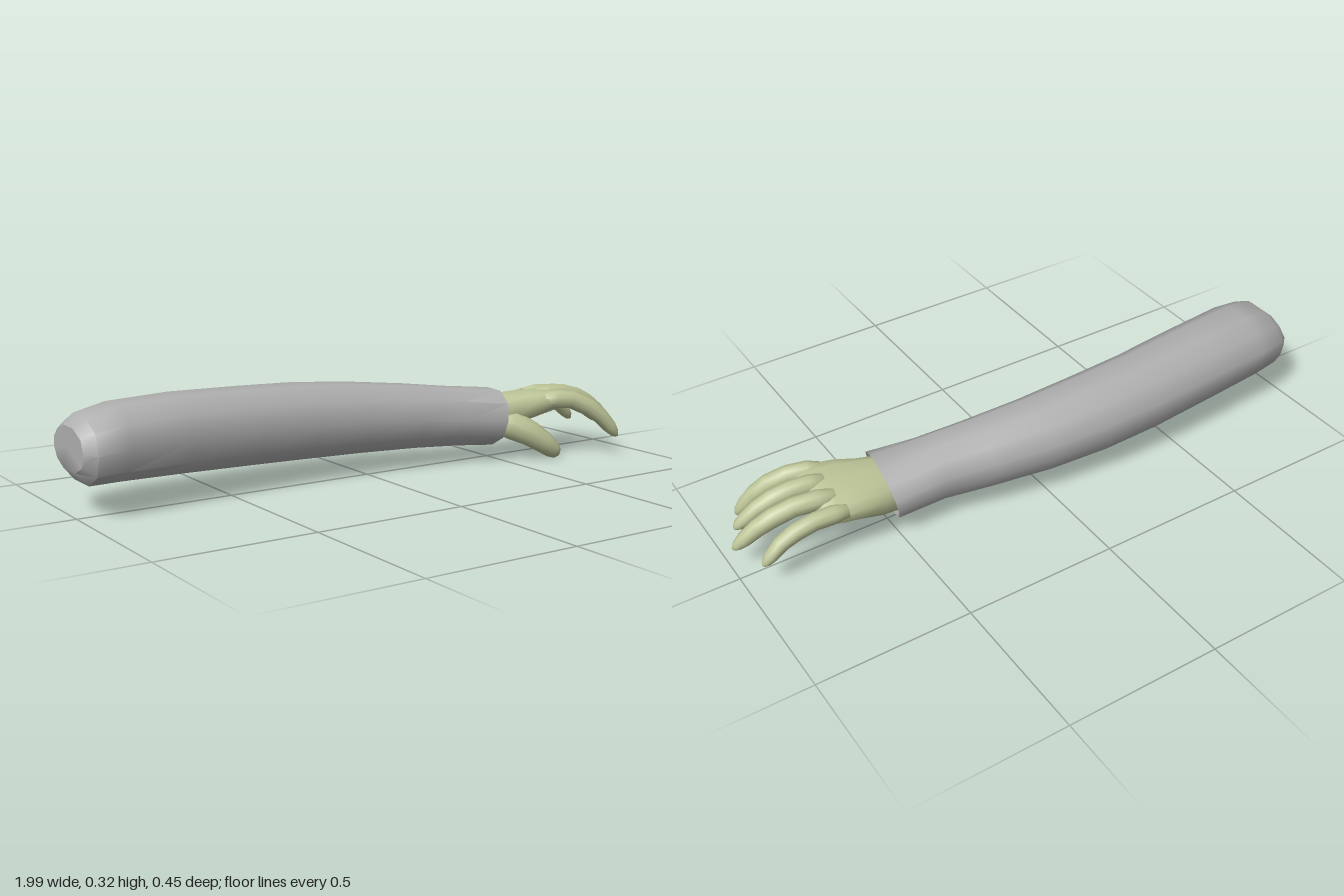
import * as THREE from 'three';
import { toCreasedNormals } from 'three/addons/utils/BufferGeometryUtils.js';

// Skin a list of equal-length rings of Vector3; rings advance towards +x
function loft(rings, capStart, capEnd) {
  const n = rings[0].length, pos = [], idx = [];
  rings.forEach(r => r.forEach(p => pos.push(p.x, p.y, p.z)));
  for (let i = 0; i < rings.length - 1; i++) {
    for (let j = 0; j < n; j++) {
      const a = i * n + j, b = i * n + (j + 1) % n;
      idx.push(a, b, a + n, b, b + n, a + n);
    }
  }
  const cap = (row, flip) => {
    const c = new THREE.Vector3();
    rings[row].forEach(p => c.addScaledVector(p, 1 / n));
    const k = pos.length / 3;
    pos.push(c.x, c.y, c.z);
    for (let j = 0; j < n; j++) {
      const a = row * n + j, b = row * n + (j + 1) % n;
      if (flip) idx.push(k, b, a); else idx.push(k, a, b);
    }
  };
  if (capStart) cap(0, true);
  if (capEnd) cap(rings.length - 1, false);
  const g = new THREE.BufferGeometry();
  g.setAttribute('position', new THREE.Float32BufferAttribute(pos, 3));
  g.setIndex(idx);
  g.computeVertexNormals();
  return g;
}

// Rounded, bent digit: path points and a radius scale
function digit(points, radius, profile) {
  const curve = new THREE.CatmullRomCurve3(points.map(p => new THREE.Vector3(...p)));
  const up = new THREE.Vector3(0, 1, 0);
  const rings = profile.map(([t, s]) => {
    const c = curve.getPoint(t), d = curve.getTangent(t);
    const nrm = up.clone().addScaledVector(d, -d.dot(up)).normalize();
    const side = d.clone().cross(nrm);
    return Array.from({ length: 10 }, (_, j) => {
      const a = j / 10 * Math.PI * 2;
      return c.clone().addScaledVector(nrm, Math.cos(a) * radius * s)
        .addScaledVector(side, Math.sin(a) * radius * s);
    });
  });
  return loft(rings, true, true);
}

export function createModel() {
  const model = new THREE.Group();
  const sleeveGrey = new THREE.MeshStandardMaterial({ color: 0xb0b0b0, side: THREE.DoubleSide });
  sleeveGrey.name = 'sleeveGrey';
  const skinGreen = new THREE.MeshStandardMaterial({ color: 0xbcc497 });
  skinGreen.name = 'skinGreen';
  const add = (parent, name, geometry, material) => {
    const m = new THREE.Mesh(geometry, material);
    m.name = name;
    parent.add(m);
  };

  // Sleeve: faceted cross-section as [z, y], scaled to each station
  const section = [[0.35, 1], [0.85, 0.62], [1, 0], [0.88, -0.62], [0.4, -1], [-0.4, -1],
    [-0.83, -0.65], [-1, -0.2], [-1, 0.25], [-0.72, 0.72], [-0.3, 1]];
  // x, yMin, yMax, zMin, zMax
  const stations = [
    [-1, 0.14, 0.27, -0.15, 0.07], [-0.965, 0.10, 0.30, -0.175, 0.098],
    [-0.86, 0.098, 0.32, -0.197, 0.09], [-0.65, 0.09, 0.325, -0.213, 0.065],
    [-0.4, 0.08, 0.317, -0.228, 0.043], [-0.2, 0.074, 0.31, -0.228, 0.037],
    [0, 0.07, 0.295, -0.208, 0.04], [0.2, 0.067, 0.275, -0.168, 0.058],
    [0.35, 0.062, 0.257, -0.13, 0.08], [0.507, 0.055, 0.238, -0.125, 0.125]];
  const sleeveRings = stations.map(([x, y0, y1, z0, z1], i) => section.map(([z, y]) => {
    const slant = i === stations.length - 1 ? 0.018 * y - 0.016 * z : 0;
    return new THREE.Vector3(x + slant, (y0 + y1) / 2 + y * (y1 - y0) / 2, (z0 + z1) / 2 + z * (z1 - z0) / 2);
  }));
  add(model, 'sleeve', toCreasedNormals(loft(sleeveRings, true, false), 0.78), sleeveGrey);

  // Palm: flattened ovals, higher on the index side
  const hand = new THREE.Group();
  hand.name = 'hand';
  model.add(hand);
  // x, centre y, centre z, half height, half width
  const palm = [[0.40, 0.14, 0, 0.06, 0.075], [0.48, 0.145, 0, 0.066, 0.09],
    [0.55, 0.158, 0, 0.062, 0.103], [0.62, 0.172, 0.012, 0.053, 0.118],
    [0.69, 0.182, 0.02, 0.044, 0.125], [0.73, 0.183, 0.02, 0.034, 0.115],
    [0.75, 0.183, 0.02, 0.018, 0.09]];
  const palmRings = palm.map(([x, cy, cz, h, w]) => Array.from({ length: 14 }, (_, j) => {
    const a = j / 14 * Math.PI * 2, c = Math.cos(a), s = Math.sin(a);
    const z = w * Math.sign(s) * Math.abs(s) ** 0.8;
    return new THREE.Vector3(x, cy + h * Math.sign(c) * Math.abs(c) ** 0.8 + z * 0.13, cz + z);
  }));
  add(hand, 'palm', loft(palmRings, true, true), skinGreen);

  // Fingers: knuckle, bend and tip
  const taper = [[0, 0.85], [0.15, 1.05], [0.35, 1], [0.55, 1], [0.72, 0.9], [0.88, 0.76], [0.96, 0.52], [1, 0.2]];
  const fingers = {
    indexFinger: [[0.66, 0.2, 0.108], [0.75, 0.2, 0.14], [0.84, 0.15, 0.18], [0.91, 0.066, 0.213]],
    middleFinger: [[0.68, 0.205, 0.045], [0.78, 0.208, 0.06], [0.87, 0.178, 0.078], [0.96, 0.112, 0.1]],
    ringFinger: [[0.68, 0.197, -0.027], [0.8, 0.199, -0.005], [0.9, 0.158, 0.02], [0.99, 0.083, 0.049]],
    littleFinger: [[0.67, 0.178, -0.085], [0.77, 0.18, -0.077], [0.87, 0.15, -0.072], [0.945, 0.082, -0.067]],
  };
  for (const [name, path] of Object.entries(fingers)) {
    add(hand, name, digit(path, name === 'littleFinger' ? 0.028 : 0.031, taper), skinGreen);
  }

  // Thumb: broad base under the palm, hanging forward and down
  const thumbTaper = [[0, 0.9], [0.25, 1.2], [0.5, 1.05], [0.7, 0.9], [0.88, 0.72], [0.96, 0.5], [1, 0.2]];
  add(hand, 'thumb', digit([[0.5, 0.135, 0.05], [0.56, 0.115, 0.09], [0.63, 0.066, 0.138], [0.69, 0.015, 0.155]],
    0.042, thumbTaper), skinGreen);

  return model;
}
